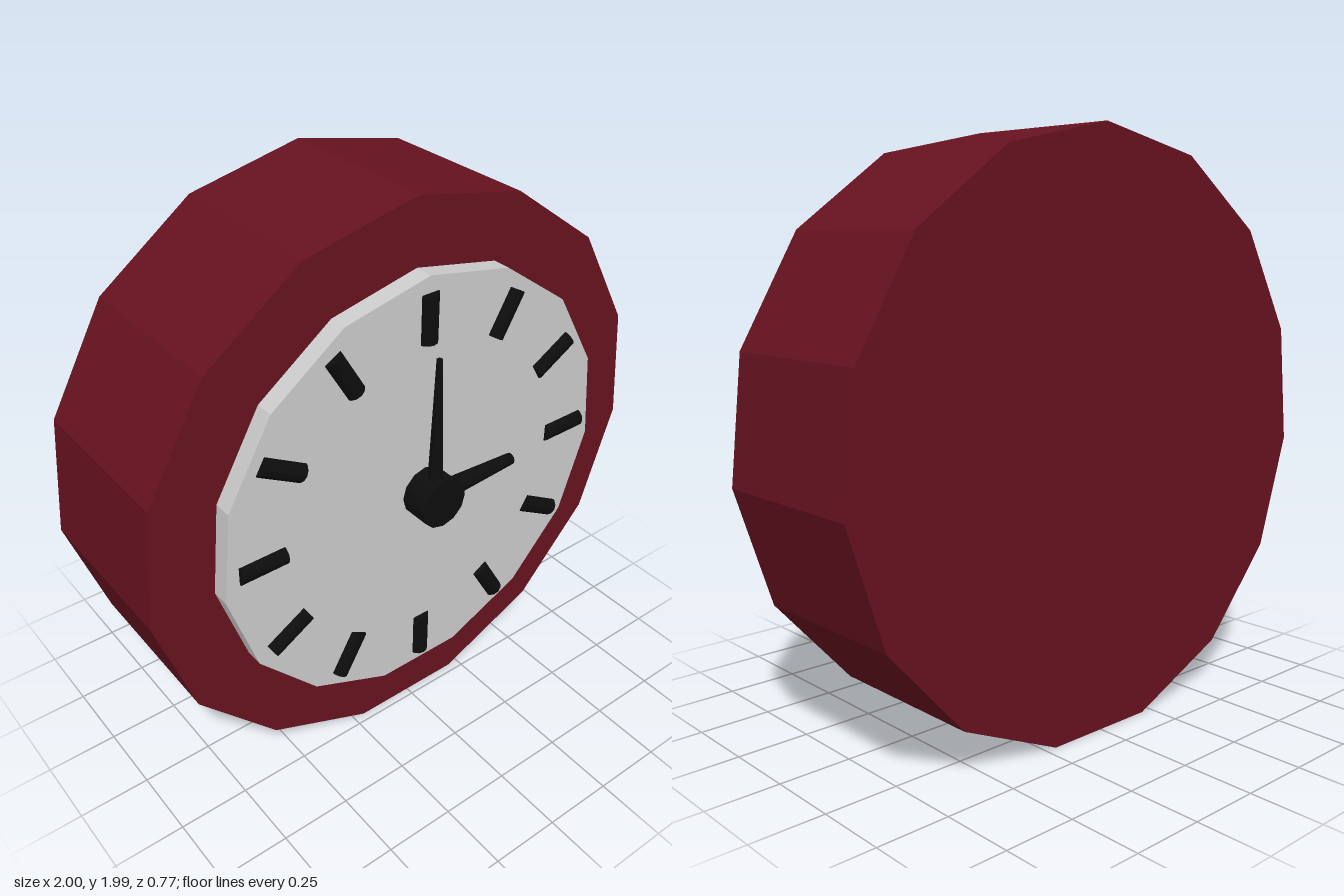
import * as THREE from 'three';

const CENTER_Y = 0.983;
const paint = (color) => new THREE.MeshStandardMaterial({ color, flatShading: true });

export function createModel() {
  const clock = new THREE.Group();
  clock.name = 'clock';
  const red = paint(0x66121f), grey = paint(0xcccccc), black = paint(0x0d0d0d);

  const add = (name, geometry, material) => {
    const mesh = new THREE.Mesh(geometry, material);
    mesh.name = name;
    clock.add(mesh);
    return mesh;
  };

  // Disc facing +z between two depths, with one corner pointing up
  const disc = (name, radius, back, front, sides, material) => {
    const geometry = new THREE.CylinderGeometry(radius, radius, front - back, sides);
    geometry.rotateX(-Math.PI / 2);
    add(name, geometry, material).position.set(0, CENTER_Y, (back + front) / 2);
  };

  // Rod lying along the dial, from one distance to another, at a clockwise angle from 12
  const rod = (name, inner, outer, innerRadius, outerRadius, z, angle, sides) => {
    const geometry = new THREE.CylinderGeometry(outerRadius, innerRadius, outer - inner, sides);
    geometry.translate(0, (inner + outer) / 2, 0);
    const mesh = add(name, geometry, black);
    mesh.position.set(0, CENTER_Y, z);
    mesh.rotation.z = -angle;
  };

  disc('case', 1.006, -0.385, 0.22, 15, red);
  disc('dial', 0.779, 0.2, 0.285, 15, grey);
  disc('hub', 0.09, 0.28, 0.385, 12, black);

  // Hour marks, half sunk into the dial
  for (let i = 0; i < 12; i++) {
    rod('hourMark' + (i === 0 ? 12 : i), 0.555, 0.722, 0.035, 0.035, 0.275, i * Math.PI / 6, 12);
  }

  // Tapered hands showing three o'clock
  rod('minuteHand', 0.03, 0.52, 0.027, 0.01, 0.337, 0, 10);
  rod('hourHand', 0.03, 0.35, 0.036, 0.021, 0.327, Math.PI / 2, 10);

  return clock;
}
